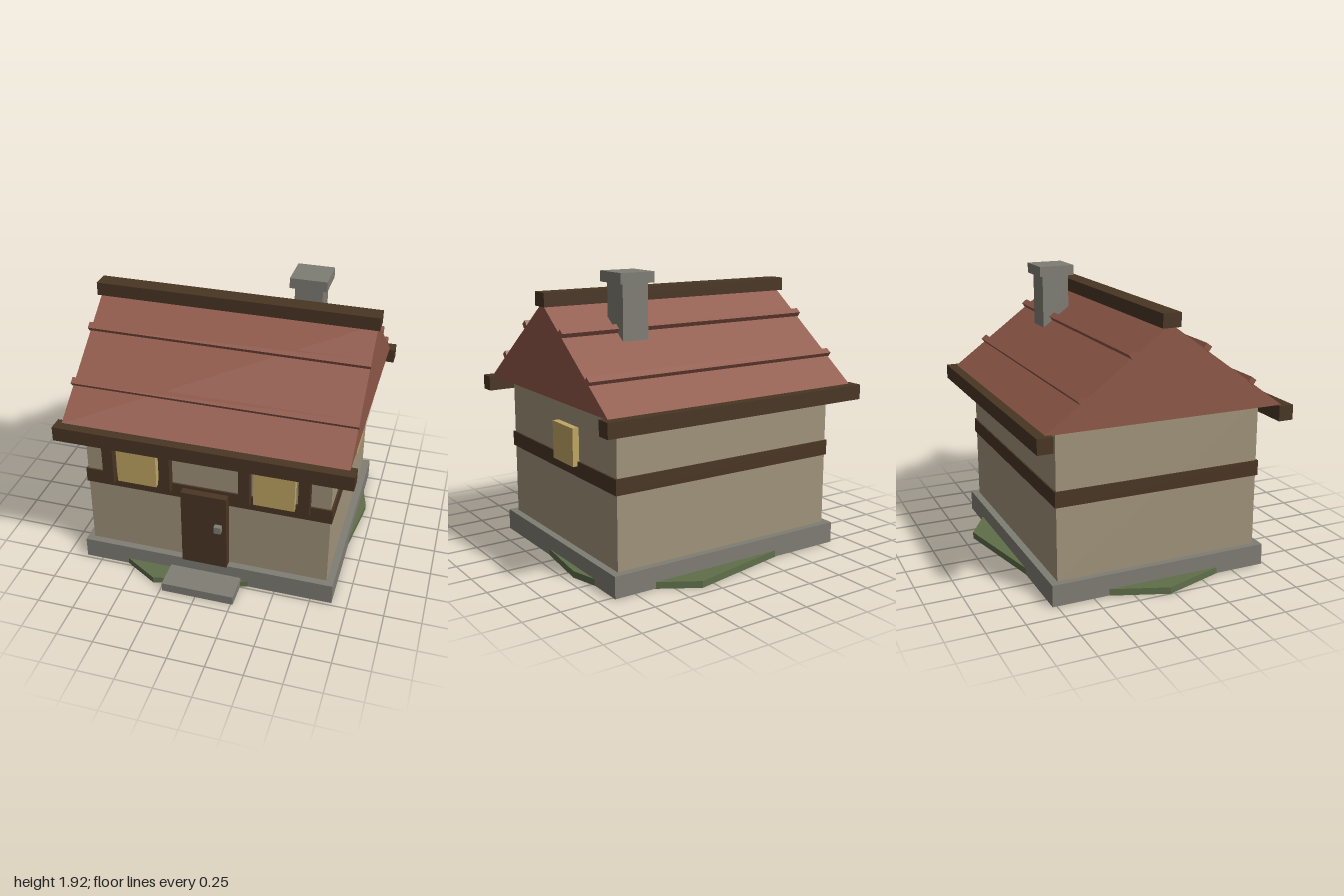
import * as THREE from 'three';

const makeMaterial = (name, color) => {
  const m = new THREE.MeshStandardMaterial({ color });
  m.name = name;
  return m;
};

export function createModel() {
  const house = new THREE.Group();
  house.name = 'cottage';

  const plaster = makeMaterial('plaster', 0xa0937a);
  const wood = makeMaterial('darkWood', 0x4a3624);
  const stone = makeMaterial('stone', 0x7f7d74);
  const tile = makeMaterial('roofTile', 0x8f5848);
  const glow = makeMaterial('windowGlow', 0xc0a664);
  const grass = makeMaterial('grass', 0x5f6e4a);

  const add = (name, geometry, material) => {
    const mesh = new THREE.Mesh(geometry, material);
    mesh.name = name;
    house.add(mesh);
    return mesh;
  };
  // Box given by its extents along each axis
  const box = (name, material, [x0, x1], [y0, y1], [z0, z1]) => {
    const mesh = add(name, new THREE.BoxGeometry(x1 - x0, y1 - y0, z1 - z0), material);
    mesh.position.set((x0 + x1) / 2, (y0 + y1) / 2, (z0 + z1) / 2);
    return mesh;
  };

  // Irregular grass patch under the house, outline as x, z
  const outline = [
    [0.945, -0.34], [0.86, 0.4], [0.45, 0.7], [-0.32, 0.87], [-0.8, 0.58],
    [-1, -0.03], [-0.8, -0.57], [-0.5, -0.75], [0.35, -0.93], [0.87, -0.62],
  ];
  const patch = new THREE.Shape(outline.map(([x, z]) => new THREE.Vector2(x, -z)));
  add('grassPatch', new THREE.ExtrudeGeometry(patch, { depth: 0.045, bevelEnabled: false })
    .rotateX(-Math.PI / 2), grass);

  // Stone base, doorstep, walls and the timber band around them
  box('foundation', stone, [-0.865, 0.895], [0.002, 0.147], [-0.78, 0.73]);
  box('doorstep', stone, [-0.235, 0.265], [0.002, 0.065], [0.68, 0.93]);
  box('walls', plaster, [-0.82, 0.845], [0.147, 1.14], [-0.73, 0.68]);
  box('timberBand', wood, [-0.83, 0.857], [0.637, 0.74], [-0.74, 0.693]);

  // Door
  box('door', wood, [-0.145, 0.168], [0.147, 0.718], [0.66, 0.745]);
  box('doorKnob', stone, [0.09, 0.138], [0.455, 0.505], [0.735, 0.78]);

  // Front windows with a shutter on either side
  for (const x of [-0.453, 0.48]) {
    box('frontWindow', glow, [x - 0.136, x + 0.136], [0.71, 0.96], [0.66, 0.728]);
    for (const side of [-1, 1]) {
      const c = x + side * 0.197;
      box('shutter', wood, [c - 0.037, c + 0.037], [0.69, 0.98], [0.66, 0.74]);
    }
  }
  box('sideWindow', glow, [0.82, 0.89], [0.708, 0.96], [-0.265, 0.005]);

  // Gabled roof: a triangle swept along x
  const ridgeZ = -0.025, half = 0.81, eaveY = 1.137, ridgeY = 1.73;
  const gable = new THREE.Shape([
    new THREE.Vector2(-half, eaveY), new THREE.Vector2(half, eaveY), new THREE.Vector2(0, ridgeY),
  ]);
  const roof = add('roof', new THREE.ExtrudeGeometry(gable, { depth: 1.89, bevelEnabled: false })
    .rotateY(Math.PI / 2), tile);
  roof.position.set(-0.93, 0, ridgeZ);

  // Eave beams and raised tile rows on both slopes
  const pitch = Math.atan2(ridgeY - eaveY, half);
  for (const side of [-1, 1]) {
    const z = ridgeZ + side * 0.822;
    box('eaveBeam', wood, [-0.97, 1.0], [1.04, 1.14], [z - 0.051, z + 0.051]);
    for (const [offset, y] of [[0.577, 1.322], [0.25, 1.567]]) {
      const row = add('tileRow', new THREE.BoxGeometry(1.905, 0.038, 0.045), tile);
      row.position.set(0.0125, y, ridgeZ + side * offset);
      row.rotation.x = side * pitch;
    }
  }
  box('ridgeBeam', wood, [-0.95, 0.975], [1.71, 1.8], [-0.088, 0.035]);

  // Chimney
  box('chimney', stone, [0.375, 0.562], [1.35, 1.86], [-0.35, -0.16]);
  box('chimneyCap', stone, [0.345, 0.595], [1.855, 1.925], [-0.38, -0.13]);

  return house;
}
